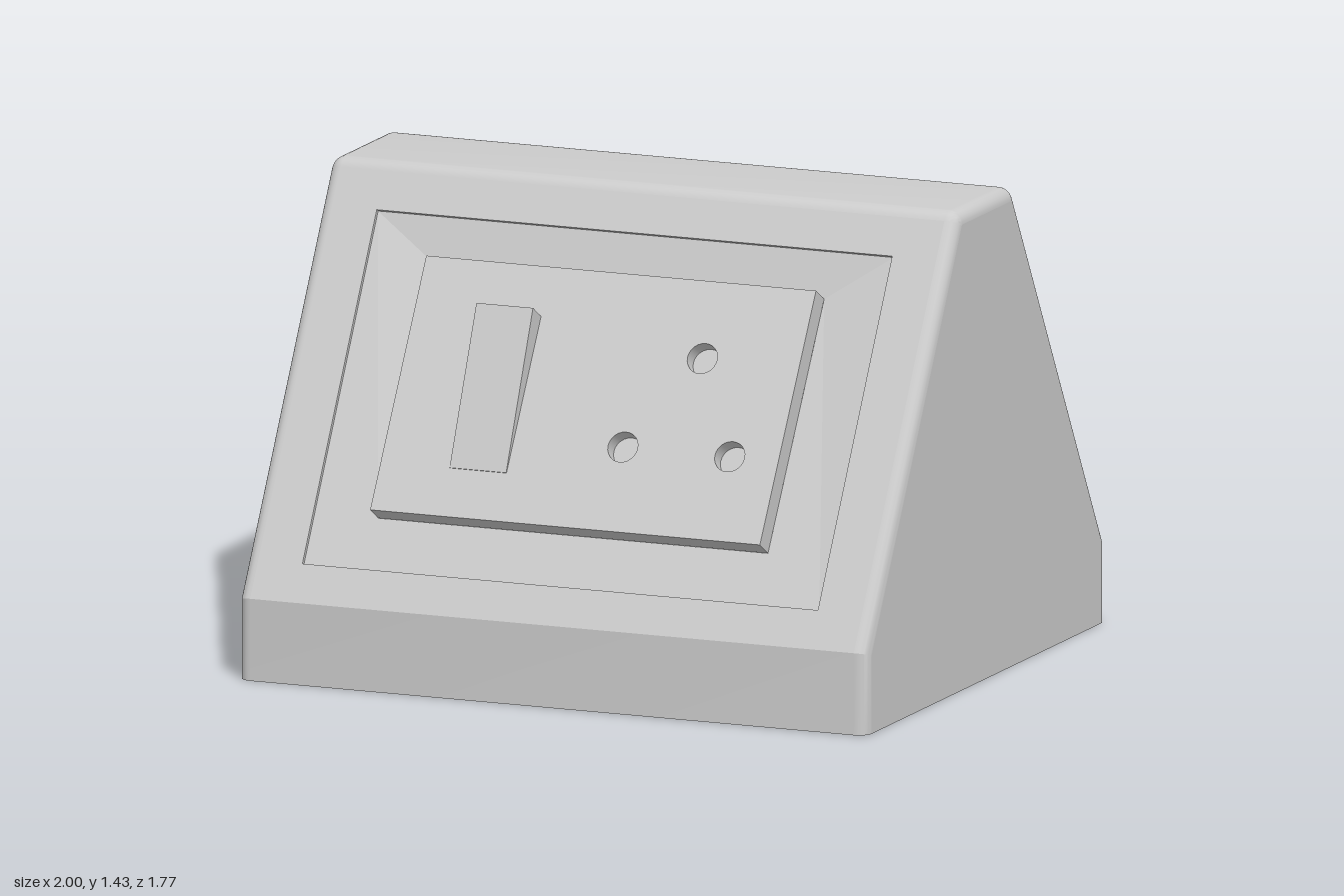
import * as THREE from 'three';
import { toCreasedNormals } from 'three/addons/utils/BufferGeometryUtils.js';

const KNEE_Y = 0.245, DEPTH = 0.883, HEIGHT = 1.43; // half depth at the base
const TILT = 0.522;                                 // lean of the sloped faces
const RIDGE_R = 0.05, END_R = 0.04;                 // edge roundings
const C = Math.cos(TILT), S = Math.sin(TILT);
const ridgeY = HEIGHT - RIDGE_R;
const ridgeZ = DEPTH - (RIDGE_R + (ridgeY - KNEE_Y) * S) / C;
const slopeLength = (ridgeY + RIDGE_R * S - KNEE_Y) / C;

const material = new THREE.MeshStandardMaterial({ color: 0xcccccc, side: THREE.DoubleSide });

function addMesh(parent, name, geometry) {
  const mesh = new THREE.Mesh(geometry, material);
  mesh.name = name;
  parent.add(mesh);
  return mesh;
}

// Flat-shaded geometry from four-cornered faces
function quadGeometry(quads) {
  const pos = [];
  for (const [a, b, c, d] of quads) pos.push(...a, ...b, ...c, ...a, ...c, ...d);
  const g = new THREE.BufferGeometry();
  g.setAttribute('position', new THREE.Float32BufferAttribute(pos, 3));
  g.computeVertexNormals();
  return g;
}

// Four-sided band between two rectangular loops
const band = (a, b) => quadGeometry(a.map((p, i) => {
  const j = (i + 1) % 4;
  return [p, a[j], b[j], b[i]];
}));

// Rectangle loop, with separate heights for its lower and upper edges
const rect = (x0, x1, y0, y1, z0, z1 = z0) =>
  [[x0, y0, z0], [x1, y0, z0], [x1, y1, z1], [x0, y1, z1]];

const path = (type, loop) => new type(loop.map(([x, y]) => new THREE.Vector2(x, y)));

// End outline as [z, y], front to back, shrunk by an inset
function profile(inset) {
  const front = [[DEPTH - inset, 0], [DEPTH - inset, KNEE_Y - inset * (1 - C) / S]];
  for (let k = 0; k <= 6; k++) {
    const a = TILT + (Math.PI / 2 - TILT) * k / 6;
    const r = RIDGE_R - inset;
    front.push([ridgeZ + r * Math.cos(a), ridgeY + r * Math.sin(a)]);
  }
  return [...front, ...front.slice().reverse().map(([z, y]) => [-z, y])];
}

// Hollow housing skin with rounded ends; the two slopes are left open for the panels
function housingSkin() {
  const sections = [];
  const N = 8;
  for (const side of [-1, 1]) {
    for (let k = 0; k <= N; k++) {
      const a = Math.PI / 2 * (side < 0 ? 1 - k / N : k / N);
      const x = side * (1 - END_R + END_R * Math.sin(a));
      sections.push(profile(END_R * (1 - Math.cos(a))).map(([z, y]) => [x, y, z]));
    }
  }
  const quads = [];
  const last = sections[0].length - 1;
  for (let i = 0; i < sections.length - 1; i++) {
    for (let j = 0; j < last; j++) {
      if (i === N && (j === 1 || j === last - 2)) continue;
      quads.push([sections[i][j], sections[i + 1][j], sections[i + 1][j + 1], sections[i][j + 1]]);
    }
  }
  return toCreasedNormals(quadGeometry(quads), 0.4);
}

// Sloped panel with sunken surround, socket plate and rocker; flip mirrors its layout
function slopedPanel(name, flip) {
  const panel = new THREE.Group();
  panel.name = name;
  const slope = new THREE.Group();
  slope.position.set(0, KNEE_Y, DEPTH);
  slope.rotation.x = -TILT;
  panel.add(slope);

  const w = 1 - END_R;
  const face = path(THREE.Shape, rect(-w, w, 0, slopeLength, 0));
  const opening = z => rect(-0.82, 0.82, 0.121, 1.217, z);
  face.holes.push(path(THREE.Path, opening(0)));
  addMesh(slope, 'slopeFace', new THREE.ShapeGeometry(face));
  addMesh(slope, 'recessStep', band(opening(0), opening(-0.012)));
  addMesh(slope, 'recessSurround',
    band(opening(-0.012), rect(-0.62, 0.62, 0.285, 1.079, -0.016, -0.036)));

  // Socket plate, leaning slightly more than the slope
  const plate = new THREE.Group();
  plate.name = 'socketPlate';
  plate.position.set(0, 0.287, 0.054);
  plate.rotation.x = -0.025;
  slope.add(plate);
  const outline = z => rect(-0.62, 0.62, 0, 0.794, z);
  addMesh(plate, 'plateRim', band(outline(-0.07), outline(0)));

  const plateShape = path(THREE.Shape, outline(0));
  const xs = [-0.40 * flip, -0.22 * flip].sort((a, b) => a - b);
  const base = rect(...xs, 0.15, 0.64, 0);
  plateShape.holes.push(path(THREE.Path, base));

  // Pin holes
  const R = 0.047, D = 0.05;
  for (const [x, y] of [[0.312, 0.555], [0.125, 0.262], [0.465, 0.262]]) {
    plateShape.holes.push(new THREE.Path().absarc(x * flip, y, R, 0, Math.PI * 2, true));
    const cup = new THREE.LatheGeometry(
      [[R, 0], [R, -D], [0, -D]].map(p => new THREE.Vector2(...p)), 24);
    cup.rotateX(Math.PI / 2);
    addMesh(plate, 'pinHole', toCreasedNormals(cup, 0.6)).position.set(x * flip, y, 0);
  }
  addMesh(plate, 'plateFace', new THREE.ShapeGeometry(plateShape, 12));

  // Wedge-shaped rocker switch
  const top = rect(...xs, 0.15, 0.64, 0.003, 0.07);
  addMesh(plate, 'switchSides', band(base, top));
  addMesh(plate, 'switchFace', quadGeometry([top]));
  return panel;
}

export function createModel() {
  const model = new THREE.Group();
  model.name = 'deskSocketBox';
  addMesh(model, 'housing', housingSkin());

  // Flat end walls
  const end = path(THREE.Shape, profile(END_R));
  for (const side of [-1, 1]) {
    const wall = addMesh(model, side > 0 ? 'leftEnd' : 'rightEnd', new THREE.ShapeGeometry(end));
    wall.rotation.y = side * Math.PI / 2;
    wall.position.x = side;
  }

  model.add(slopedPanel('frontPanel', 1));
  const back = slopedPanel('backPanel', -1);
  back.rotation.y = Math.PI;
  model.add(back);
  return model;
}
